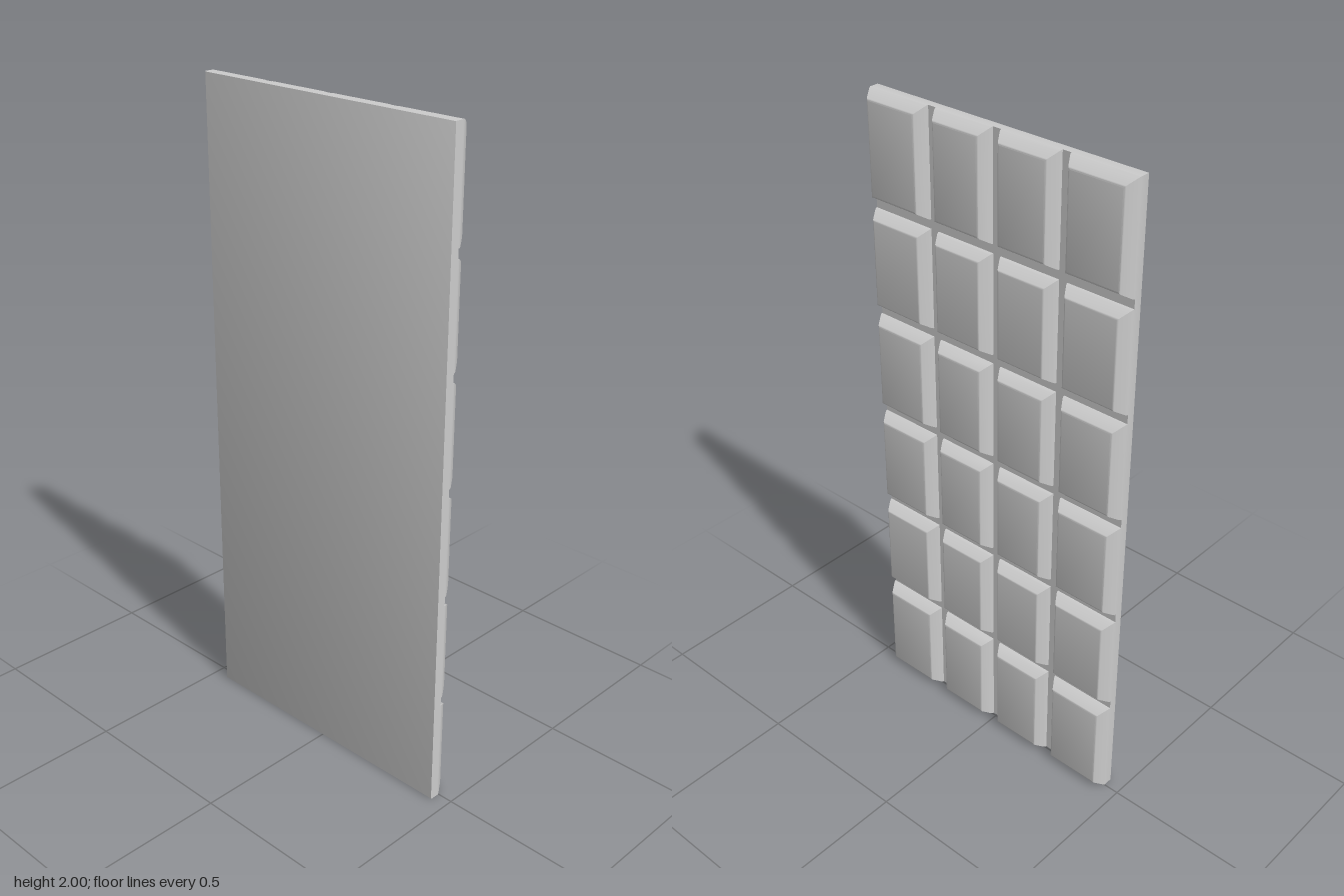
import * as THREE from 'three';
import { toCreasedNormals } from 'three/addons/utils/BufferGeometryUtils.js';

const HEIGHT = 2, WIDTH = 0.902, ROWS = 6, COLS = 4;
const FLOOR = -0.005; // x of the groove floor
const GROOVE = 0.014; // half width of the groove floor

// Stacks rectangular rings along x; each profile entry is [inset, x].
function loftRect(y0, y1, z0, z1, profile) {
  const pos = [], idx = [];
  for (const [inset, x] of profile) {
    pos.push(x, y0 + inset, z1 - inset, x, y0 + inset, z0 + inset);
    pos.push(x, y1 - inset, z0 + inset, x, y1 - inset, z1 - inset);
  }
  for (let r = 0; r < profile.length - 1; r++) {
    for (let i = 0; i < 4; i++) {
      const a = r * 4 + i, b = r * 4 + (i + 1) % 4;
      idx.push(a, b, b + 4, a, b + 4, a + 4);
    }
  }
  const t = (profile.length - 1) * 4;
  idx.push(t, t + 1, t + 2, t, t + 2, t + 3); // front cap
  idx.push(0, 2, 1, 0, 3, 2); // back cap
  const geo = new THREE.BufferGeometry();
  geo.setAttribute('position', new THREE.Float32BufferAttribute(pos, 3));
  geo.setIndex(idx);
  return toCreasedNormals(geo, 0.6);
}

export function createModel() {
  const group = new THREE.Group();
  group.name = 'chocolateBar';
  const material = new THREE.MeshStandardMaterial({ color: 0xcccccc });
  const add = (name, geo) => {
    const mesh = new THREE.Mesh(geo, material);
    mesh.name = name;
    group.add(mesh);
  };

  // Thin backing slab with softened rear edges
  add('backSlab', loftRect(0, HEIGHT, -WIDTH / 2, WIDTH / 2, [
    [0.004, -0.033], [0.0012, -0.0318], [0, -0.029], [0, FLOOR],
  ]));

  // Raised pieces: short upright foot, sloping bevel, rounded rim, flat top
  const bevel = [
    [0, FLOOR], [0, -0.002], [0.001, 0.001], [0.003, 0.005],
    [0.017, 0.027], [0.019, 0.03], [0.0215, 0.0322], [0.025, 0.033],
  ];
  const span = (i, n, size) => [
    (i * size) / n + (i > 0 ? GROOVE : 0),
    ((i + 1) * size) / n - (i < n - 1 ? GROOVE : 0),
  ];
  for (let r = 0; r < ROWS; r++) {
    const [y0, y1] = span(r, ROWS, HEIGHT);
    for (let c = 0; c < COLS; c++) {
      const [z0, z1] = span(c, COLS, WIDTH).map((z) => z - WIDTH / 2);
      add(`piece_${r + 1}_${c + 1}`, loftRect(y0, y1, z0, z1, bevel));
    }
  }
  return group;
}
